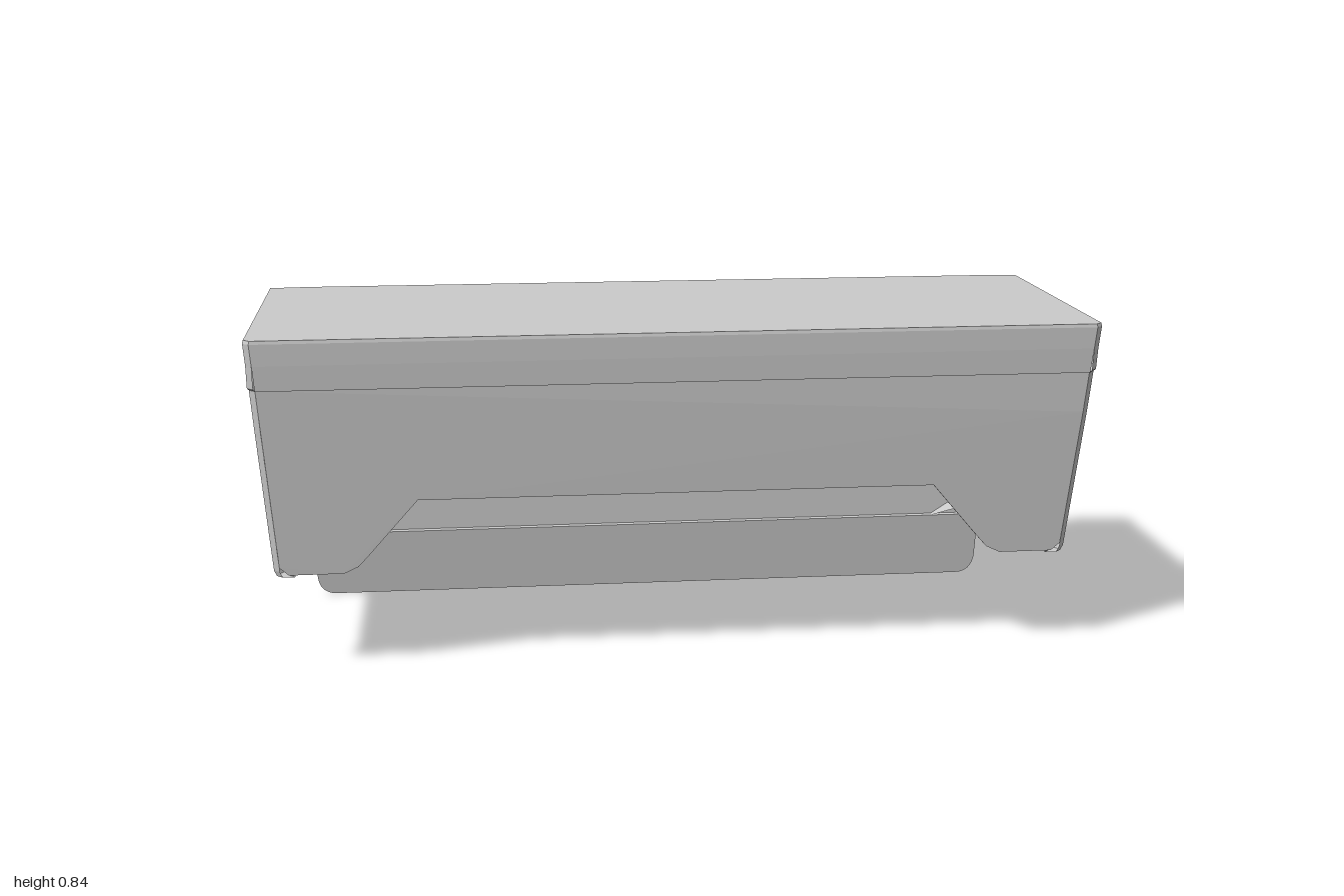
import * as THREE from 'three';

const mat = new THREE.MeshStandardMaterial({ color: 0xcccccc, flatShading: true, side: THREE.DoubleSide });
const corner = 0.015;

// Tapering outer limits of the shell at height y
const outer = y => 1 - (0.84 - y) * 0.06;
const front = y => 0.338 + (y - 0.62) * (y > 0.62 ? 0.13 : 0.17);
const back = y => -0.338 - (y - 0.18) * 0.045;
// Half width where the sides meet the back
const backEdge = y => y < 0.2 ? 0.91 : y < 0.3 ? 0.937 : y < 0.75 ? outer(y) - 0.02 : outer(y);

function add(group, name, geometry) {
  const mesh = new THREE.Mesh(geometry, mat);
  mesh.name = name;
  group.add(mesh);
  return mesh;
}

// Surface through rows of [x, y, z] points
function grid(rows) {
  const n = rows[0].length, index = [];
  for (let r = 0; r < rows.length - 1; r++)
    for (let c = 0; c < n - 1; c++) {
      const a = r * n + c, b = a + n;
      index.push(a, b, a + 1, a + 1, b, b + 1);
    }
  const g = new THREE.BufferGeometry();
  g.setAttribute('position', new THREE.Float32BufferAttribute(rows.flat(2), 3));
  g.setIndex(index);
  g.computeVertexNormals();
  return g;
}

// Upright plate cut from a shape, leaned in z by a rule of height
function leaningPlate(shape, depth, lean) {
  const g = new THREE.ExtrudeGeometry(shape, { depth, bevelEnabled: false, curveSegments: 6 });
  const p = g.attributes.position;
  for (let i = 0; i < p.count; i++) p.setZ(i, p.getZ(i) - depth + lean(p.getY(i)));
  g.computeVertexNormals();
  return g;
}

// Horizontal outline with slightly chamfered corners
function ring(x, y, zf, zb, bulge = 0) {
  const half = [[x - corner, zf], [x, zf - corner], [x, zb], [x - 0.1, zb - bulge]];
  const mirrored = half.map(([px, pz]) => [-px, pz]).reverse();
  return [...half, ...mirrored, half[0]].map(([px, pz]) => [px, y, pz]);
}

export function createModel() {
  const model = new THREE.Group();

  // Flat top with its rim
  const top = ring(0.998, 0.84, 0.371, -0.362, 0.008);
  add(model, 'lid', grid([
    top.map(() => [0, 0.84, 0]), top,
    ring(1, 0.832, 0.372, -0.364, 0.008), ring(outer(0.78), 0.78, 0.366, back(0.78)),
  ]));
  const lipRow = (y, z) => [-1, 1].map(s => [s * (outer(y) - corner), y, z]);
  add(model, 'frontLip', grid([lipRow(0.78, 0.366), lipRow(0.72, 0.357), lipRow(0.72, 0.345)]));

  // Front wall with the wide cutout and two legs
  const half = [[0.978, 0.72], [0.972, 0.62], [0.951, 0.275], [0.93, 0.255], [0.8, 0.255], [0.765, 0.272], [0.74, 0.3], [0.62, 0.44]];
  const outline = [...half, ...half.map(([x, y]) => [-x, y]).reverse()];
  const frontShape = new THREE.Shape(outline.map(([x, y]) => new THREE.Vector2(x, y)));
  add(model, 'frontWall', leaningPlate(frontShape, 0.025, front));

  // Side walls: front post, inset panel under a sloping ledge, inner face
  const sideRow = (y, d, inner = 0) => {
    const o = outer(y) - inner, f = y > 0.75 ? 0.366 : front(y);
    return [[o - corner, y, f], [o, y, f - corner], [o - d * 0.2, y, Math.min(f - 0.03, 0.3)],
      [o - d * 0.8, y, 0.23], [o - d, y, -0.21], [backEdge(y) - inner, y, back(y)]];
  };
  const ledgeHeights = [0.725, 0.725, 0.735, 0.75, 0.775, 0.778];
  const ledge = sideRow(0.78, 0).map(([x, , z], i) => [x, ledgeHeights[i], i < 2 ? z - 0.009 : z]);
  const side = grid([
    sideRow(0.78, 0), ledge, sideRow(0.72, 0.025), sideRow(0.62, 0.025), sideRow(0.52, 0.024),
    sideRow(0.265, 0.02), sideRow(0.25, 0.02, 0.005), sideRow(0.25, 0.01, 0.035), sideRow(0.72, 0.01, 0.035),
  ]);

  // Lower corner between a side wall and the back flap
  const gusset = grid([
    [[0.945, 0.25, -0.21], [0.937, 0.265, back(0.265)]],
    [[0.91, 0.18, -0.333], [0.91, 0.18, -0.338]],
    [[0.78, 0.18, -0.32], [0.78, 0.18, -0.338]],
    [[0.9, 0.25, -0.21], [0.9, 0.26, -0.325]],
  ]);
  for (const [s, label] of [[1, 'left'], [-1, 'right']]) {
    add(model, label + 'Side', side).scale.x = s;
    add(model, label + 'Gusset', gusset).scale.x = s;
  }

  // Shallow back panel between corner posts: [y, post inner edge, panel edge, panel z]
  const levels = [
    [0.78, 0.86, 0.81, -0.365], [0.72, 0.86, 0.8, -0.33], [0.62, 0.86, 0.8, -0.33],
    [0.59, 0.92, 0.77, -0.33], [0.45, 0.92, 0.75, -0.33], [0.28, 0.91, 0.8, -0.326], [0.18, 0.9, 0.84, -0.336],
  ];
  add(model, 'backWall', grid(levels.map(([y, post, panel, z]) => {
    const left = [[backEdge(y), back(y)], [post, back(y)], [panel, z]];
    const right = left.map(([x, d]) => [-x, d]).reverse();
    return [...left, ...right].map(([x, d]) => [x, y, d]);
  })));

  // Hanging flap with rounded lower corners
  const flap = new THREE.Shape();
  flap.moveTo(-0.91, 0.18);
  flap.lineTo(-0.91, 0.05);
  flap.quadraticCurveTo(-0.905, 0, -0.86, 0);
  flap.lineTo(0.86, 0);
  flap.quadraticCurveTo(0.905, 0, 0.91, 0.05);
  flap.lineTo(0.91, 0.18);
  add(model, 'backFlap', leaningPlate(flap, 0.02, y => -0.353 + y * 0.2));

  return model;
}
